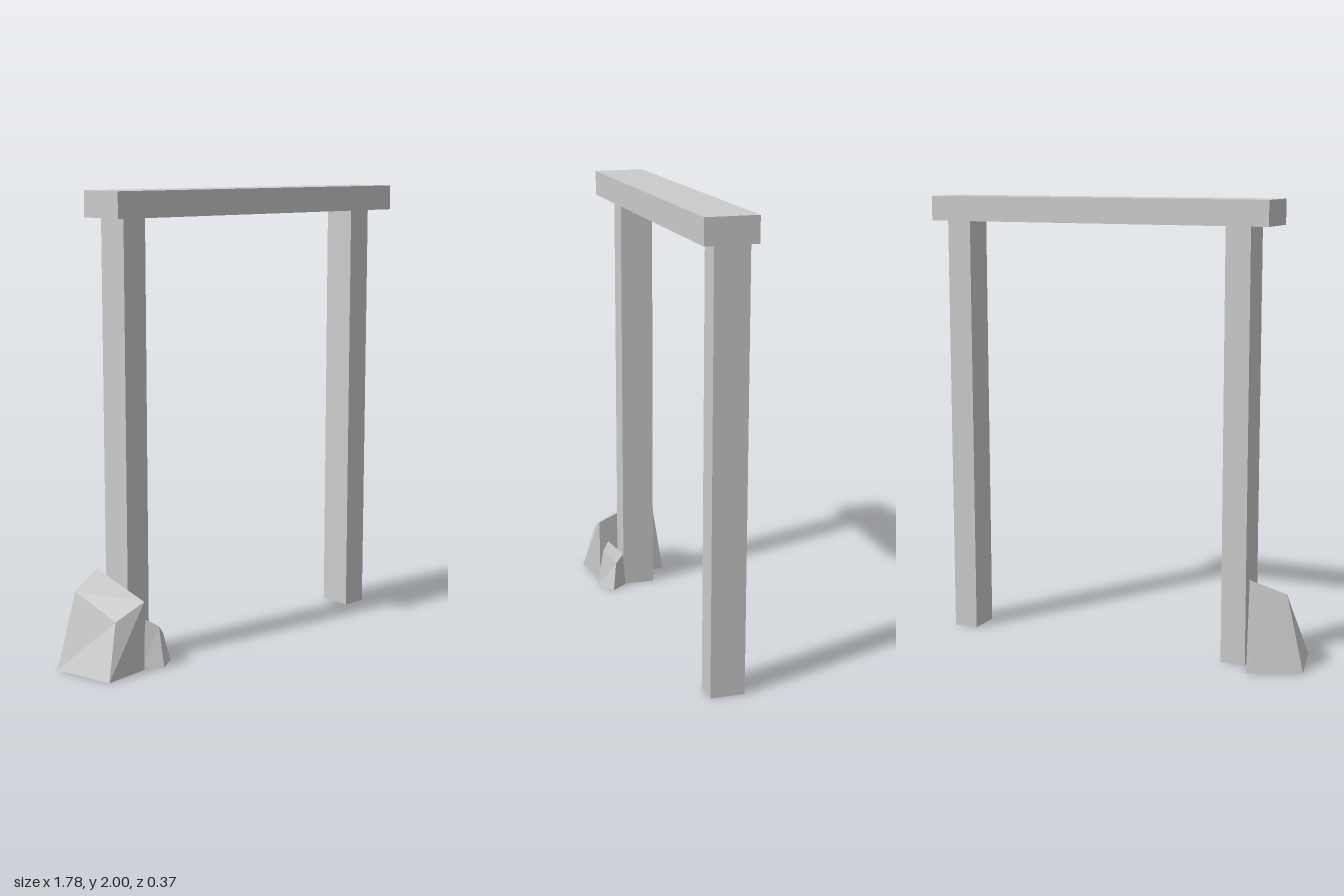
import * as THREE from 'three';

const material = new THREE.MeshStandardMaterial({
  color: 0xcccccc, flatShading: true, side: THREE.DoubleSide,
});

// Four-sided shell, open at the bottom. Corners run left-back, left-front, right-front, right-back.
function shell(name, base, top, capped) {
  const points = [];
  const quad = (a, b, c, d) => points.push(...a, ...b, ...c, ...a, ...c, ...d);
  for (let i = 0; i < 4; i++) {
    const j = (i + 1) % 4;
    quad(base[i], base[j], top[j], top[i]);
  }
  if (capped) quad(...top);
  const geometry = new THREE.BufferGeometry();
  geometry.setAttribute('position', new THREE.Float32BufferAttribute(points, 3));
  geometry.computeVertexNormals();
  const mesh = new THREE.Mesh(geometry, material);
  mesh.name = name;
  return mesh;
}

// Corners of a level rectangle at height y
const rectangle = (x0, x1, y, z0, z1) => [[x0, y, z0], [x0, y, z1], [x1, y, z1], [x1, y, z0]];

export function createModel() {
  const model = new THREE.Group();
  model.name = 'gateway';

  // Beam across the top
  const beam = new THREE.Mesh(new THREE.BoxGeometry(1.6, 0.11, 0.225), material);
  beam.name = 'beam';
  beam.position.set(0.09, 1.945, 0.013);
  model.add(beam);

  // Two upright posts, open at the ends
  for (const [name, x] of [['rightPost', -0.63], ['leftPost', 0.7]]) {
    model.add(shell(name,
      rectangle(x, x + 0.112, 0, -0.092, 0.058),
      rectangle(x, x + 0.112, 1.89, -0.092, 0.058), false));
  }

  // Tapered rocks with slanted tops at the foot of the right post
  model.add(shell('largeRock',
    [[-0.893, 0, -0.09], [-0.83, 0, 0.185], [-0.616, 0, 0.15], [-0.67, 0, -0.187]],
    [[-0.81, 0.333, -0.07], [-0.757, 0.233, 0.137], [-0.616, 0.297, 0.152], [-0.657, 0.393, -0.121]],
    true));
  model.add(shell('smallRock',
    [[-0.603, 0, 0.122], [-0.537, 0, 0.184], [-0.453, 0, 0.125], [-0.515, 0, 0.05]],
    [[-0.583, 0.206, 0.117], [-0.54, 0.175, 0.154], [-0.48, 0.125, 0.106], [-0.52, 0.155, 0.06]],
    true));

  return model;
}
